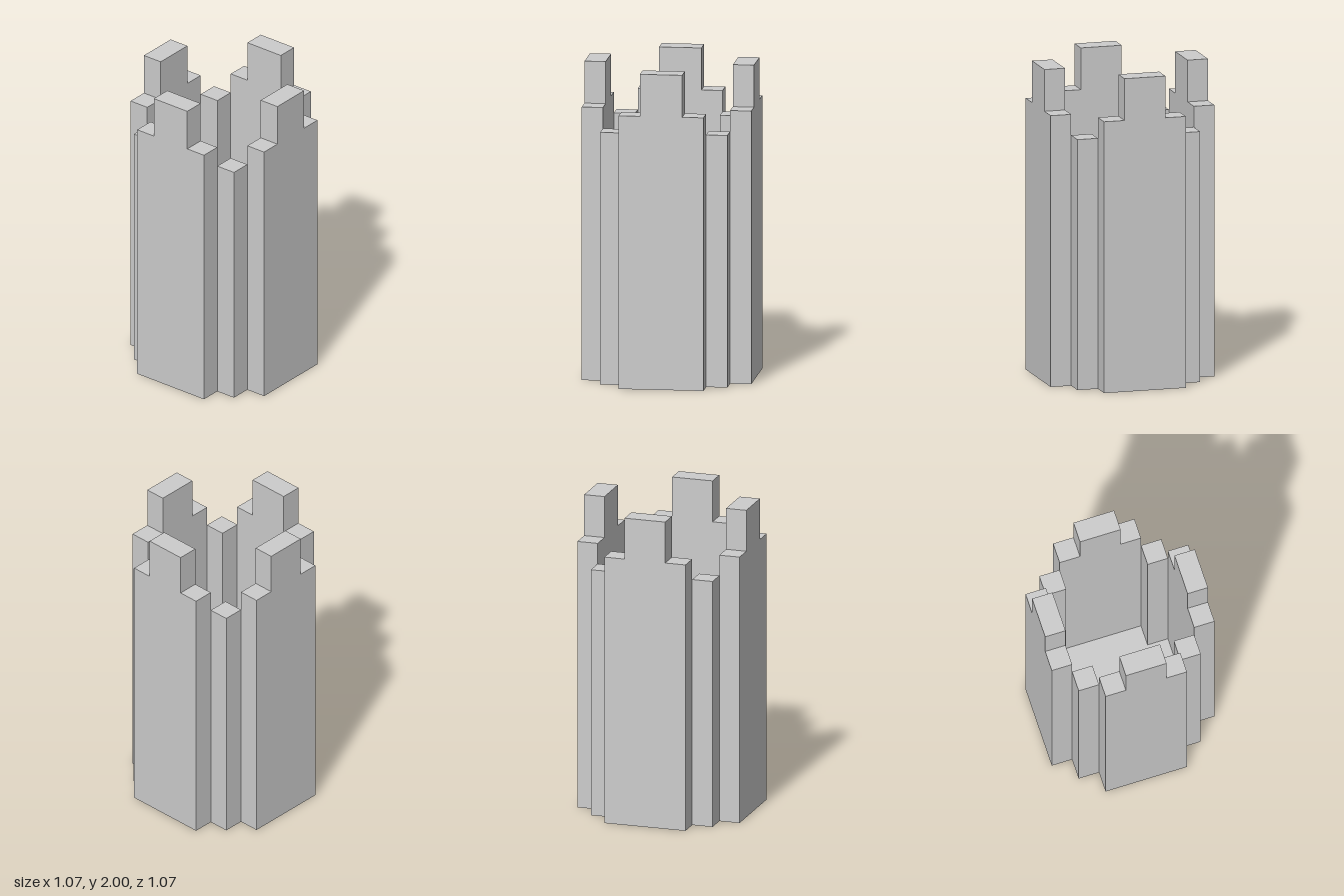
import * as THREE from 'three';

const U = 2 / 15; // one block

function prism(points, depth) {
  const shape = new THREE.Shape(points.map(([x, y]) => new THREE.Vector2(x * U, y * U)));
  return new THREE.ExtrudeGeometry(shape, { depth: depth * U, bevelEnabled: false });
}

export function createModel() {
  const tower = new THREE.Group();
  tower.name = 'tower';
  const material = new THREE.MeshStandardMaterial({ color: 0xcccccc, flatShading: true });

  // Wall slab with a raised merlon in the middle, standing 3 blocks from the axis
  const wallGeo = prism([[-2, 0], [2, 0], [2, 13], [1, 13], [1, 15], [-1, 15], [-1, 13], [-2, 13]], 1);
  wallGeo.translate(0, 0, 3 * U);

  // Lower corner post
  const postGeo = new THREE.BoxGeometry(U, 12 * U, U);
  postGeo.translate(2.5 * U, 6 * U, 2.5 * U);

  ['front', 'left', 'back', 'right'].forEach((side, i) => {
    const wall = new THREE.Mesh(wallGeo, material);
    wall.name = side + 'Wall';
    const post = new THREE.Mesh(postGeo, material);
    post.name = 'cornerPost' + (i + 1);
    wall.rotation.y = post.rotation.y = i * Math.PI / 2;
    tower.add(wall, post);
  });

  // Cross-shaped floor closing the hollow shaft
  const floorGeo = prism([
    [-2, -3], [2, -3], [2, -2], [3, -2], [3, 2], [2, 2],
    [2, 3], [-2, 3], [-2, 2], [-3, 2], [-3, -2], [-2, -2],
  ], 1);
  floorGeo.rotateX(-Math.PI / 2);
  const floor = new THREE.Mesh(floorGeo, material);
  floor.name = 'floor';
  tower.add(floor);

  return tower;
}
